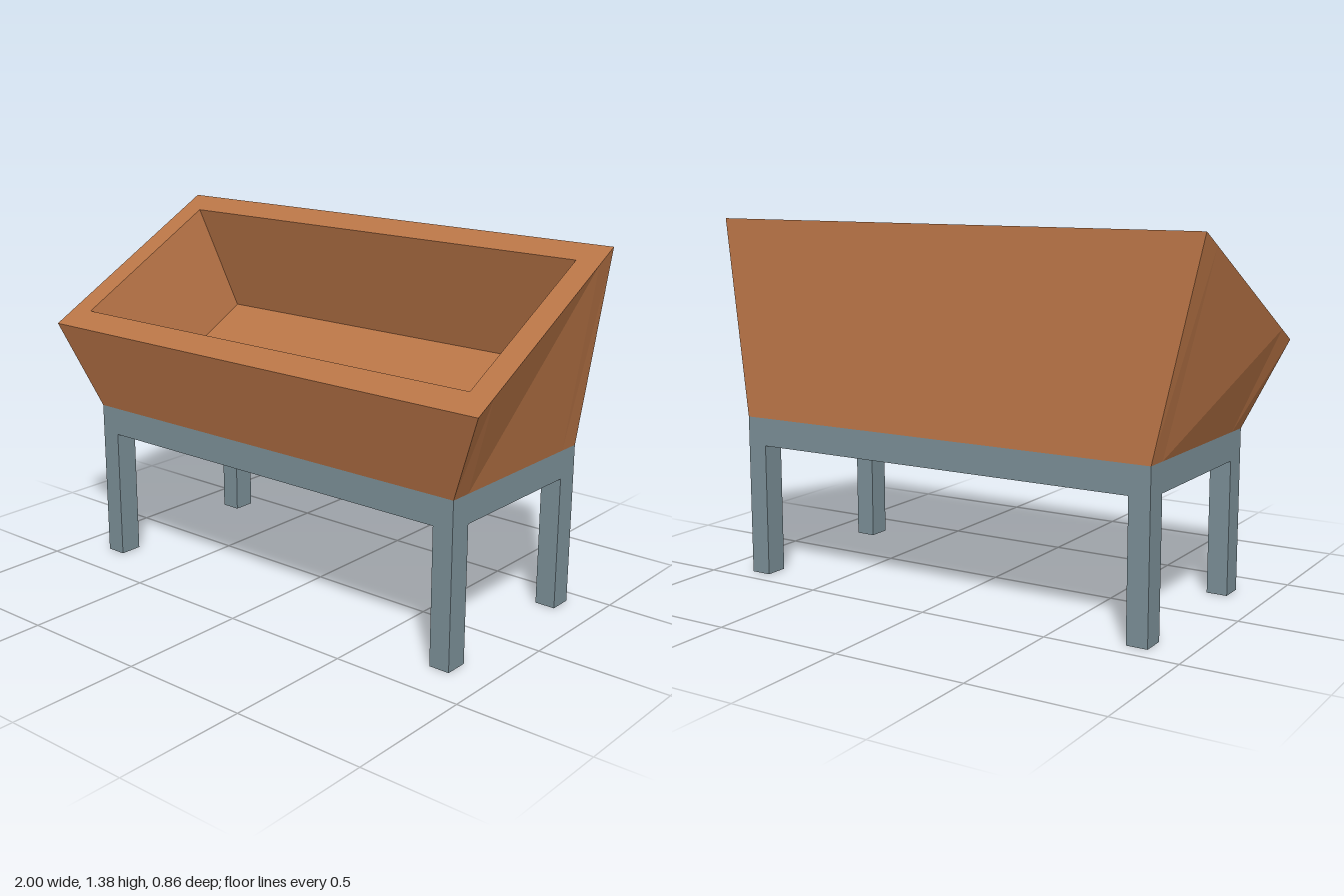
import * as THREE from 'three';

const wood = new THREE.MeshStandardMaterial({ color: 0xb87446 });
wood.name = 'warm wood';
const steel = new THREE.MeshStandardMaterial({ color: 0x7b8f97 });
steel.name = 'blue grey steel';

// Box given by its minimum and maximum corners
function box(name, min, max) {
  const size = max.map((v, i) => v - min[i]);
  const mesh = new THREE.Mesh(new THREE.BoxGeometry(...size), steel);
  mesh.position.set(...max.map((v, i) => (v + min[i]) / 2));
  mesh.name = name;
  return mesh;
}

// Symmetric ring of points; side holds [y, z] stations from front to back
function ring(halfWidth, side) {
  return [
    ...side.map(([y, z]) => [halfWidth, y, z]),
    ...[...side].reverse().map(([y, z]) => [-halfWidth, y, z]),
  ];
}

// Splits a straight side evenly into the same four stations
function stations([y0, z0], [y1, z1]) {
  return [0, 0.11, 0.885, 1].map(t => [y0 + (y1 - y0) * t, z0 + (z1 - z0) * t]);
}

// Flat-shaded surface through successive rings, closed by the last one
function loft(rings) {
  const pos = [];
  const quad = (a, b, c, d) => pos.push(...a, ...b, ...c, ...a, ...c, ...d);
  for (let r = 0; r < rings.length - 1; r++) {
    const lo = rings[r], hi = rings[r + 1];
    for (let i = 0; i < lo.length; i++) {
      const j = (i + 1) % lo.length;
      quad(lo[i], lo[j], hi[j], hi[i]);
    }
  }
  const end = rings[rings.length - 1];
  quad(end[0], end[3], end[4], end[7]);
  const geo = new THREE.BufferGeometry();
  geo.setAttribute('position', new THREE.Float32BufferAttribute(pos, 3));
  geo.computeVertexNormals();
  return geo;
}

export function createModel() {
  const model = new THREE.Group();
  model.name = 'raisedTrough';

  // Stand: flat slab on four square legs
  const stand = new THREE.Group();
  stand.name = 'stand';
  stand.add(box('slab', [-0.855, 0.512, -0.43], [0.855, 0.62, 0.34]));
  for (const [sideName, x] of [['Left', 0.775], ['Right', -0.855]]) {
    for (const [endName, z] of [['front', 0.25], ['back', -0.43]]) {
      stand.add(box(`${endName}${sideName}Leg`, [x, 0, z], [x + 0.08, 0.512, z + 0.09]));
    }
  }
  model.add(stand);

  // Trough: flared outer walls, sloping rim, tapered hollow and sloping floor
  const trough = new THREE.Mesh(loft([
    ring(0.855, stations([0.62, 0.34], [0.62, -0.43])),
    ring(1, stations([0.95, 0.43], [1.375, -0.365])),
    ring(0.905, stations([0.998, 0.34], [1.33, -0.28])),
    ring(0.8, stations([0.632, 0.15], [0.92, -0.39])),
  ]), wood);
  trough.name = 'trough';
  model.add(trough);

  return model;
}
